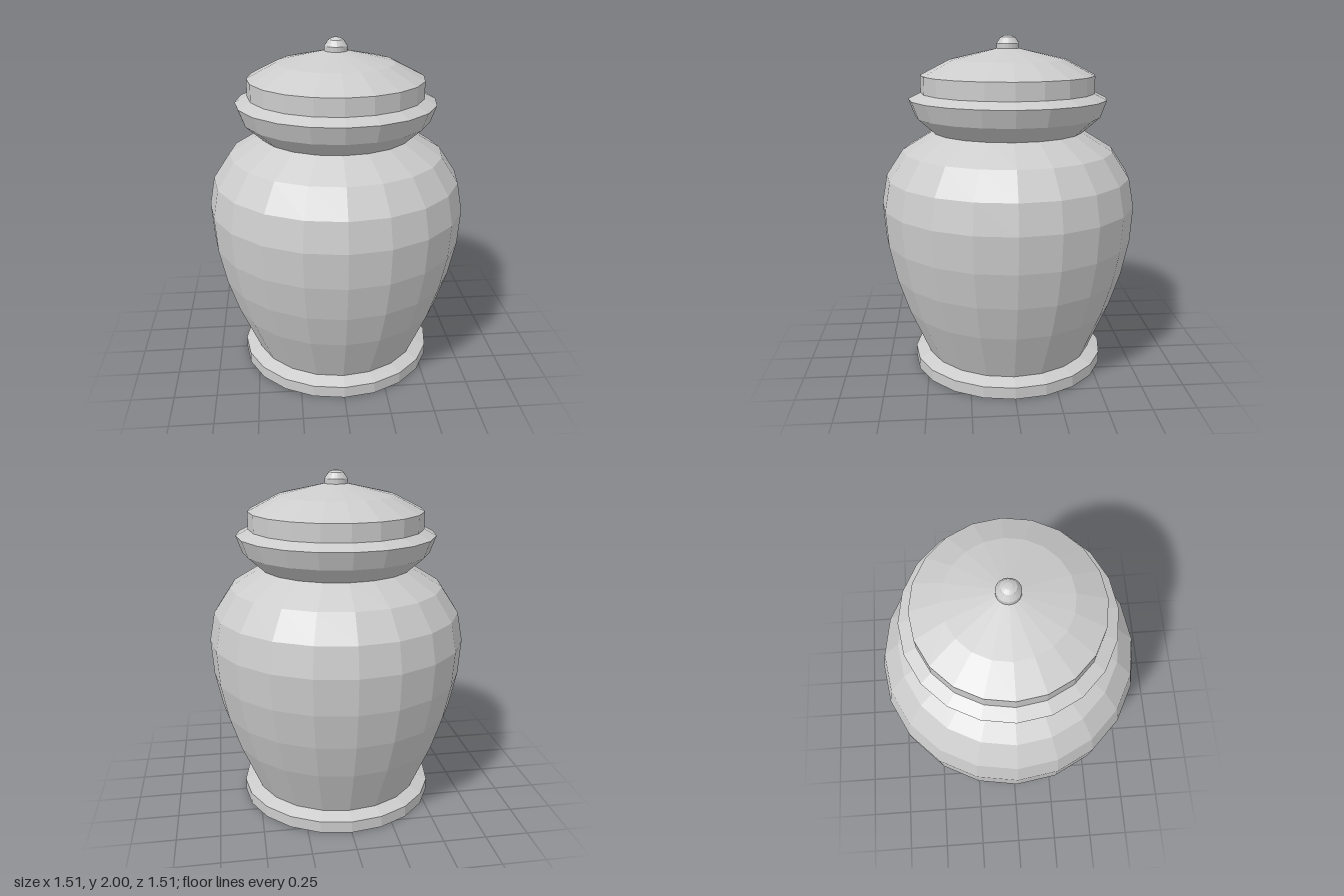
import * as THREE from 'three';

const SIDES = 20;

// Faceted turned part from [radius, height] pairs, listed bottom to top
function turned(name, profile, material) {
  const points = profile.map(([r, y]) => new THREE.Vector2(r, y));
  const mesh = new THREE.Mesh(new THREE.LatheGeometry(points, SIDES), material);
  mesh.name = name;
  return mesh;
}

export function createModel() {
  const group = new THREE.Group();
  group.name = 'lidded urn';
  const material = new THREE.MeshStandardMaterial({
    color: 0xcccccc, flatShading: true, side: THREE.DoubleSide,
  });

  group.add(
    // Flat foot with a chamfered top edge
    turned('foot', [[0, 0], [0.585, 0], [0.585, 0.07], [0.51, 0.1]], material),
    // Swelling belly, drawn in at the shoulder
    turned('body', [
      [0.51, 0.1], [0.635, 0.395], [0.7, 0.6], [0.743, 0.81], [0.757, 1.02],
      [0.725, 1.19], [0.625, 1.34], [0.445, 1.45],
    ], material),
    // Flared rim above the neck
    turned('rim', [[0.445, 1.45], [0.545, 1.54], [0.582, 1.64], [0.51, 1.675]], material),
    // Upright lid band and shallow dome
    turned('lid', [[0.51, 1.675], [0.51, 1.775], [0.338, 1.863], [0.066, 1.925]], material),
    // Small rounded knob
    turned('knob', [
      [0.066, 1.925], [0.066, 1.953], [0.043, 1.987], [0.02, 1.998], [0, 2],
    ], material),
  );
  return group;
}
